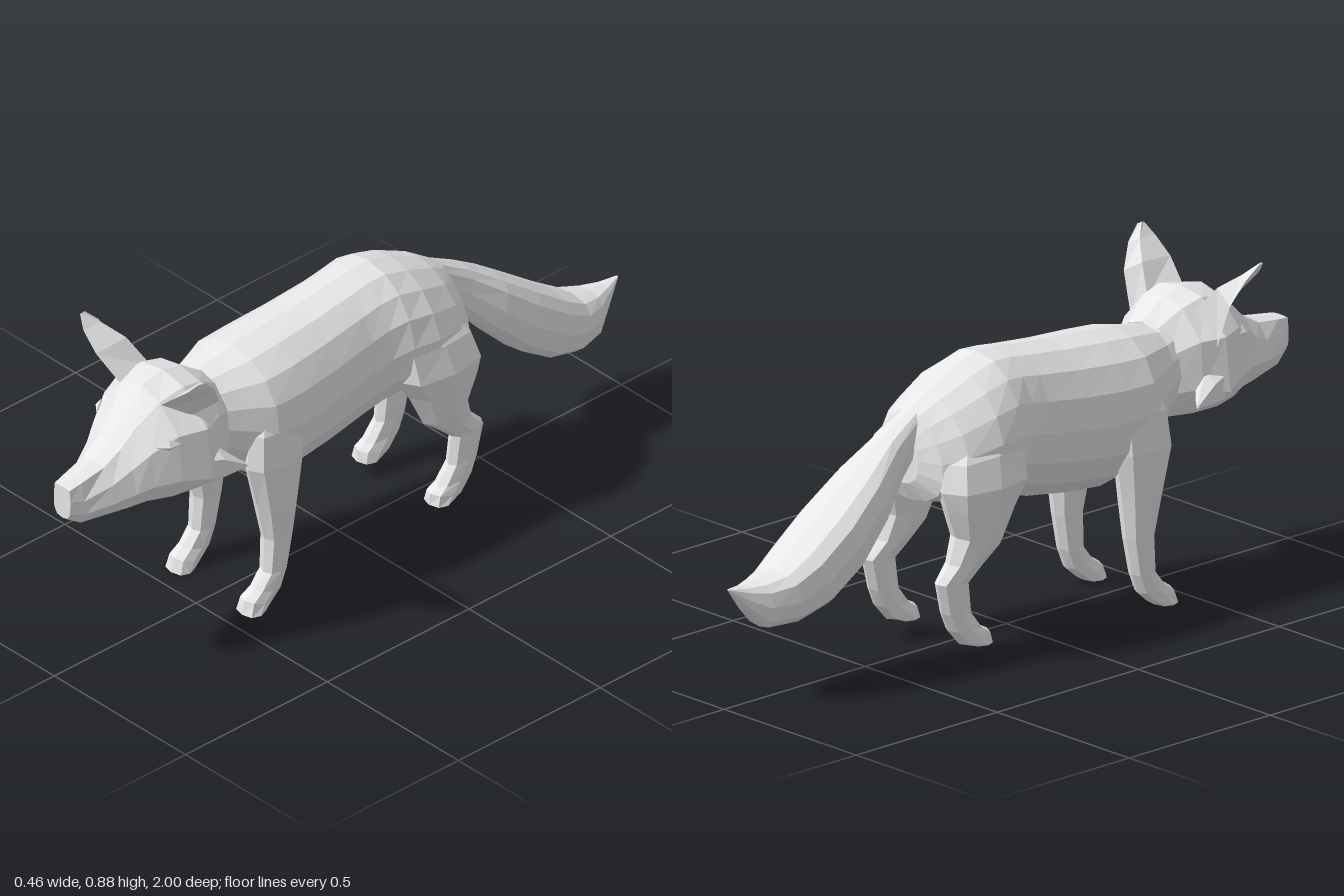
import * as THREE from 'three';

const fur = new THREE.MeshStandardMaterial({ color: 0xe7e7e7, flatShading: true });
fur.name = 'greyFur';

// Ring spanned between two [z, y] points and between x0 and x1; power < 1 makes it boxier,
// taper narrows the half near the first point and widens the other
function ring([p, q, x0, x1], sides, power = 1, taper = 0) {
  const soft = v => Math.sign(v) * Math.abs(v) ** power;
  return Array.from({ length: sides }, (_, i) => {
    const a = (i / sides) * Math.PI * 2;
    const t = soft(Math.cos(a)) / 2, s = soft(Math.sin(a)) / 2 * (1 - 2 * taper * t);
    return [
      (x0 + x1) / 2 + (x1 - x0) * s,
      (p[1] + q[1]) / 2 + (p[1] - q[1]) * t,
      (p[0] + q[0]) / 2 + (p[0] - q[0]) * t,
    ];
  });
}

// Closed flat-shaded skin through rings, turned outward by the sign of its volume
function loft(name, rings) {
  const n = rings[0].length, points = rings.flat(), tris = [];
  for (let r = 0; r < rings.length - 1; r++) {
    for (let i = 0; i < n; i++) {
      const a = r * n + i, b = r * n + (i + 1) % n;
      tris.push([a, b, a + n], [b, b + n, a + n]);
    }
  }
  for (const [start, flip] of [[0, true], [(rings.length - 1) * n, false]]) {
    const c = [0, 1, 2].map(k => points.slice(start, start + n).reduce((s, p) => s + p[k], 0) / n);
    points.push(c);
    for (let i = 0; i < n; i++) {
      const a = start + i, b = start + (i + 1) % n, m = points.length - 1;
      tris.push(flip ? [b, a, m] : [a, b, m]);
    }
  }
  const v = points.map(p => new THREE.Vector3(...p));
  const volume = tris.reduce((s, [a, b, c]) => s + v[a].dot(v[b].clone().cross(v[c])), 0);
  if (volume < 0) tris.forEach(t => t.reverse());

  let g = new THREE.BufferGeometry().setFromPoints(v);
  g.setIndex(tris.flat());
  g = g.toNonIndexed();
  g.computeVertexNormals();
  const mesh = new THREE.Mesh(g, fur);
  mesh.name = name;
  return mesh;
}

const mirrored = (sections, side) => sections.map(([p, q, x0, x1]) => [p, q, x0 * side, x1 * side]);

export function createModel() {
  const model = new THREE.Group();
  model.name = 'fox';
  const trunk = new THREE.Group();
  trunk.name = 'trunk';
  trunk.position.x = -0.015;
  const head = new THREE.Group();
  head.name = 'head';
  model.add(trunk, head);

  // Body: top point, bottom point, half width, taper towards the back
  const body = [
    [[0.53, 0.715], [0.53, 0.48], 0.10, 0],
    [[0.48, 0.71], [0.48, 0.445], 0.115, 0],
    [[0.42, 0.722], [0.42, 0.40], 0.145, 0],
    [[0.36, 0.735], [0.35, 0.345], 0.178, 0],
    [[0.26, 0.745], [0.25, 0.325], 0.178, 0],
    [[0.13, 0.755], [0.13, 0.335], 0.168, 0],
    [[0, 0.77], [0, 0.355], 0.158, 0],
    [[-0.06, 0.778], [-0.06, 0.375], 0.163, 0.05],
    [[-0.12, 0.78], [-0.12, 0.40], 0.18, 0.12],
    [[-0.20, 0.755], [-0.20, 0.42], 0.19, 0.18],
    [[-0.30, 0.71], [-0.30, 0.42], 0.168, 0.25],
    [[-0.355, 0.675], [-0.36, 0.43], 0.125, 0.3],
    [[-0.38, 0.62], [-0.385, 0.48], 0.06, 0.2],
  ];
  trunk.add(loft('body', body.map(([p, q, w, taper]) => ring([p, q, -w, w], 16, 0.93, taper))));

  // Tail
  const tail = [
    [[-0.32, 0.695], [-0.35, 0.56], 0.035],
    [[-0.45, 0.622], [-0.42, 0.49], 0.055],
    [[-0.55, 0.555], [-0.50, 0.40], 0.09],
    [[-0.66, 0.475], [-0.60, 0.30], 0.108],
    [[-0.77, 0.395], [-0.70, 0.235], 0.105],
    [[-0.84, 0.35], [-0.80, 0.205], 0.088],
    [[-0.90, 0.335], [-0.89, 0.205], 0.06],
    [[-0.95, 0.33], [-0.945, 0.26], 0.03],
    [[-1, 0.332], [-1, 0.328], 0.003],
  ];
  trunk.add(loft('tail', tail.map(([p, q, w]) => ring([p, q, -w, w], 12, 0.7))));

  // Legs: front point, back point, inner x, outer x
  const frontLeg = [
    [[0.37, 0.64], [0.27, 0.64], 0.08, 0.13],
    [[0.42, 0.54], [0.25, 0.54], 0.08, 0.178],
    [[0.43, 0.44], [0.25, 0.44], 0.085, 0.188],
    [[0.395, 0.31], [0.27, 0.31], 0.09, 0.18],
    [[0.37, 0.20], [0.285, 0.20], 0.10, 0.17],
    [[0.375, 0.10], [0.305, 0.10], 0.105, 0.167],
    [[0.41, 0.06], [0.325, 0.045], 0.105, 0.167],
    [[0.44, 0.04], [0.36, 0.015], 0.10, 0.17],
    [[0.45, 0], [0.385, 0], 0.096, 0.174],
  ];
  const hindLeg = [
    [[-0.13, 0.67], [-0.28, 0.63], 0.06, 0.13],
    [[-0.085, 0.57], [-0.35, 0.55], 0.06, 0.192],
    [[-0.09, 0.48], [-0.37, 0.48], 0.06, 0.217],
    [[-0.135, 0.41], [-0.355, 0.43], 0.075, 0.207],
    [[-0.185, 0.31], [-0.325, 0.35], 0.09, 0.19],
    [[-0.24, 0.265], [-0.345, 0.28], 0.10, 0.175],
    [[-0.285, 0.225], [-0.39, 0.235], 0.11, 0.168],
    [[-0.275, 0.14], [-0.37, 0.15], 0.11, 0.165],
    [[-0.235, 0.09], [-0.35, 0.10], 0.108, 0.168],
    [[-0.212, 0.078], [-0.31, 0.055], 0.104, 0.172],
    [[-0.208, 0.045], [-0.275, 0.045], 0.10, 0.175],
  ];
  for (const side of [1, -1]) {
    const label = side > 0 ? 'left' : 'right';
    for (const [name, leg] of [['FrontLeg', frontLeg], ['HindLeg', hindLeg]]) {
      trunk.add(loft(label + name, mirrored(leg, side).map(s => ring(s, 8, 0.8))));
    }
  }

  // Skull and muzzle: z followed by half outlines from crown to chin
  const skull = [
    [1.00, [0, 0.605], [0.028, 0.603], [0.032, 0.57], [0.030, 0.53], [0.02, 0.512], [0, 0.508]],
    [0.96, [0, 0.612], [0.032, 0.609], [0.045, 0.56], [0.047, 0.52], [0.03, 0.487], [0, 0.482]],
    [0.88, [0, 0.627], [0.038, 0.622], [0.07, 0.58], [0.08, 0.53], [0.055, 0.487], [0, 0.48]],
    [0.82, [0, 0.66], [0.043, 0.654], [0.088, 0.61], [0.103, 0.54], [0.075, 0.488], [0, 0.482]],
    [0.77, [0, 0.705], [0.05, 0.698], [0.11, 0.645], [0.124, 0.55], [0.09, 0.49], [0, 0.484]],
    [0.70, [0, 0.77], [0.07, 0.752], [0.142, 0.68], [0.157, 0.55], [0.12, 0.486], [0, 0.474]],
    [0.62, [0, 0.782], [0.08, 0.768], [0.172, 0.68], [0.189, 0.535], [0.14, 0.485], [0, 0.455]],
    [0.555, [0, 0.765], [0.075, 0.752], [0.145, 0.675], [0.155, 0.55], [0.115, 0.475], [0, 0.455]],
    [0.48, [0, 0.715], [0.05, 0.70], [0.098, 0.64], [0.108, 0.54], [0.075, 0.47], [0, 0.45]],
  ];
  head.add(loft('skull', skull.map(([z, ...half]) => {
    const shift = 0.03 * Math.max(0, (z - 0.6) / 0.4);
    const back = half.slice(1, -1).reverse().map(([x, y]) => [-x, y]);
    return [...half, ...back].map(([x, y]) => [x + shift, y, z]);
  })));

  // Ears: each row runs front rim, back, rear rim, hollow
  const ear = [
    [[0.075, 0.74, 0.70], [0.085, 0.735, 0.58], [0.162, 0.655, 0.595], [0.12, 0.70, 0.64]],
    [[0.145, 0.803, 0.718], [0.142, 0.81, 0.615], [0.201, 0.775, 0.605], [0.16, 0.78, 0.66]],
    [[0.198, 0.848, 0.714], [0.194, 0.85, 0.655], [0.221, 0.84, 0.64], [0.206, 0.84, 0.685]],
    [[0.226, 0.88, 0.70], [0.224, 0.882, 0.69], [0.23, 0.878, 0.68], [0.228, 0.878, 0.69]],
  ];
  // Cheek tufts
  const tuft = [
    [[0.64, 0.62], [0.64, 0.485], 0.09, 0.175],
    [[0.57, 0.595], [0.57, 0.49], 0.10, 0.192],
    [[0.50, 0.53], [0.50, 0.518], 0.186, 0.197],
  ];
  for (const side of [1, -1]) {
    const label = side > 0 ? 'left' : 'right';
    head.add(loft(label + 'Ear', ear.map(row => row.map(([x, y, z]) => [x * side, y, z]))));
    head.add(loft(label + 'CheekTuft', mirrored(tuft, side).map(s => ring(s, 6))));

    const eyelid = new THREE.Mesh(new THREE.OctahedronGeometry(1), fur);
    eyelid.name = label + 'Eyelid';
    eyelid.position.set(0.13 * side + 0.01, 0.66, 0.725);
    eyelid.rotation.y = -0.46 * side;
    eyelid.scale.set(0.014, 0.018, 0.036);
    head.add(eyelid);
  }
  return model;
}
